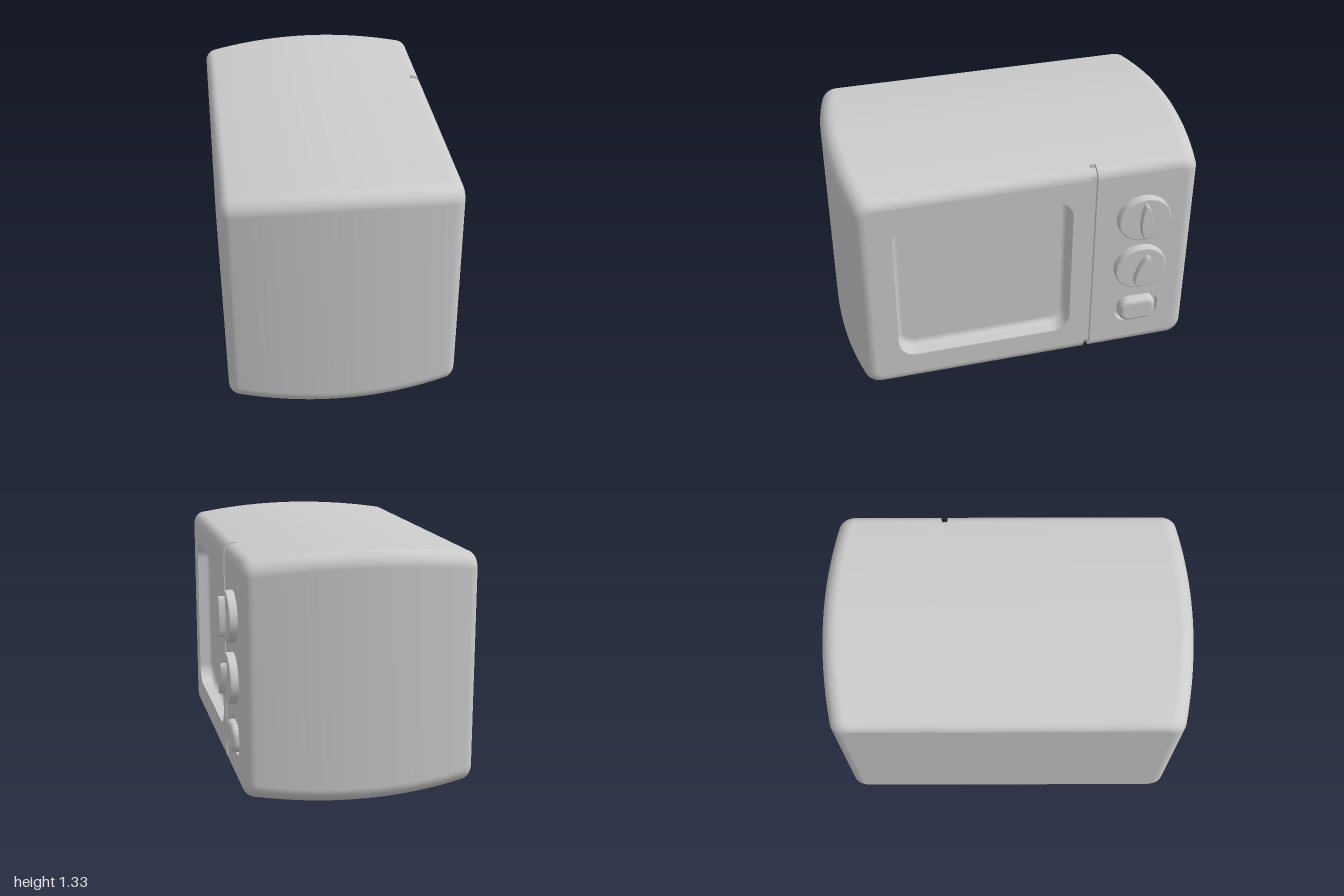
import * as THREE from 'three';

// Local frame: u = right across the door face, v = up, w = out of the door.
// The finished assembly is turned so that the door faces +x.
const SEG = 8, MID = 0.667, FRONT = 0.58, BACK = -0.665, FILLET = 0.05;
const GROOVE = [0.335, 0.37], GROOVE_START = 0.515, GROOVE_DEPTH = 0.022;

const grey = () => new THREE.MeshStandardMaterial({ color: 0xcccccc });

// Counter-clockwise rounded rectangle; extra points can be set on top and bottom
function roundRect(cu, cv, hw, hh, r, extras = []) {
  const pts = [];
  const corner = (su, sv, start) => {
    for (let i = 0; i <= SEG; i++) {
      const a = start + (i / SEG) * Math.PI / 2;
      pts.push([cu + su * (hw - r) + r * Math.cos(a), cv + sv * (hh - r) + r * Math.sin(a)]);
    }
  };
  corner(1, -1, -Math.PI / 2);
  corner(1, 1, 0);
  for (const u of [...extras].reverse()) pts.push([u, cv + hh]);
  corner(-1, 1, Math.PI / 2);
  corner(-1, -1, Math.PI);
  for (const u of extras) pts.push([u, cv - hh]);
  return pts;
}

// Skin over rings {w, pts}; skip(i, j) leaves a face open
function skin(rings, skip = () => false) {
  const n = rings[0].pts.length, pos = [], idx = [];
  for (const { w, pts } of rings) for (const [u, v] of pts) pos.push(u, v, w);
  for (let i = 0; i < rings.length - 1; i++) {
    for (let j = 0; j < n; j++) {
      if (skip(i, j)) continue;
      const k = (j + 1) % n, a = i * n + j, b = i * n + k;
      idx.push(a, b, b + n, a, b + n, a + n);
    }
  }
  const g = new THREE.BufferGeometry();
  g.setAttribute('position', new THREE.Float32BufferAttribute(pos, 3));
  g.setIndex(idx);
  g.computeVertexNormals();
  return g;
}

const vec = pts => pts.map(([u, v]) => new THREE.Vector2(u, v));

function panel(pts, w, holes = []) {
  const shape = new THREE.Shape(vec(pts));
  for (const h of holes) shape.holes.push(new THREE.Path(vec(h)));
  return new THREE.ShapeGeometry(shape).translate(0, 0, w);
}

export function createModel() {
  const model = new THREE.Group();
  const oven = new THREE.Group();
  oven.name = 'oven';
  oven.rotation.y = Math.PI / 2;
  model.add(oven);
  const add = (name, geo, parent = oven) => {
    const m = new THREE.Mesh(geo, grey());
    m.name = name;
    parent.add(m);
    return m;
  };

  // Bulging casing: stations from the back fillet to the front fillet
  const stations = [];
  for (let i = 0; i <= 6; i++) stations.push([BACK + FILLET, -(1 - i / 6) * Math.PI / 2]);
  for (let i = 1; i < 20; i++) {
    stations.push([THREE.MathUtils.lerp(BACK + FILLET, GROOVE_START, i / 20), 0]);
  }
  stations.push([GROOVE_START, 0]);
  const grooveRow = stations.length - 1;
  for (let i = 0; i <= 6; i++) stations.push([FRONT - FILLET, (i / 6) * Math.PI / 2]);

  const rings = stations.map(([base, t]) => {
    const w = base + FILLET * Math.sin(t);
    const inset = FILLET * (1 - Math.cos(t));
    const s = ((w - (FRONT + BACK) / 2) / 0.6225) ** 2;
    const hh = MID - 0.047 * s - inset, hw = 1 - 0.07 * s - inset;
    return { w, t, hh, pts: roundRect(0, MID, hw, hh, 0.085 - inset * 0.9, GROOVE) };
  });
  const topCol = 2 * (SEG + 1), bottomCol = 4 * (SEG + 1) + 2;
  add('casing', skin(rings, (i, j) => i >= grooveRow && (j === topCol || j === bottomCol)));
  add('backPanel', panel(rings[0].pts, 0).rotateY(Math.PI).translate(0, 0, BACK));

  // Door and control panel, either side of the groove
  const face = rings[rings.length - 1].pts;
  const windowRect = inset => roundRect(-0.252, 0.672, 0.493 - inset, 0.447 - inset, 0.1 - inset);
  const buttonRect = inset => roundRect(0.643, 0.305, 0.128 - inset, 0.09 - inset, 0.075 - inset);
  add('door', panel(face.slice(topCol + 1, bottomCol + 1), FRONT, [windowRect(0)]));
  add('controlPanel', panel([face[bottomCol + 1], ...face.slice(0, topCol + 1)], FRONT, [buttonRect(0)]));

  // Recess with a rounded foot
  const recess = (name, rect, depth, r) => {
    const steps = [{ w: FRONT, pts: rect(0) }];
    for (let i = 0; i <= 5; i++) {
      const a = (i / 5) * Math.PI / 2;
      steps.push({ w: FRONT - depth + r * (1 - Math.sin(a)), pts: rect(r * (1 - Math.cos(a))) });
    }
    add(name + 'Surround', skin(steps));
    add(name + 'Floor', panel(rect(r), FRONT - depth));
  };
  recess('window', windowRect, 0.09, 0.035);
  recess('buttonRecess', buttonRect, 0.03, 0.006);

  // Groove between door and controls, wrapping over the top and bottom edges
  const edge = rings.slice(grooveRow);
  const path = (sign, list) => list.map(({ w, t, hh }) => ({
    outer: [MID + sign * hh, w],
    inner: [MID + sign * (hh - GROOVE_DEPTH * Math.cos(t)), w - GROOVE_DEPTH * Math.sin(t)],
  }));
  const line = [...path(1, edge), ...path(-1, [...edge].reverse())];
  const pos = [];
  const quad = (a, b, c, d) => pos.push(...a, ...b, ...c, ...a, ...c, ...d);
  const [u0, u1] = GROOVE;
  for (let i = 0; i < line.length - 1; i++) {
    const p = line[i], q = line[i + 1];
    quad([u0, ...p.inner], [u0, ...q.inner], [u1, ...q.inner], [u1, ...p.inner]);
    quad([u0, ...p.outer], [u0, ...q.outer], [u0, ...q.inner], [u0, ...p.inner]);
    quad([u1, ...p.inner], [u1, ...q.inner], [u1, ...q.outer], [u1, ...p.outer]);
  }
  for (const p of [line[0], line[line.length - 1]]) {
    quad([u0, ...p.outer], [u0, ...p.inner], [u1, ...p.inner], [u1, ...p.outer]);
  }
  const groove = new THREE.BufferGeometry();
  groove.setAttribute('position', new THREE.Float32BufferAttribute(pos, 3));
  groove.computeVertexNormals();
  add('doorGroove', groove).material.side = THREE.DoubleSide;

  // Rounded disc with an elliptical outline, standing on the face
  const disc = (ru, rv, height, bevel) => {
    const rim = [new THREE.Vector2(1, 0)];
    for (let i = 0; i <= 4; i++) {
      const a = (i / 4) * Math.PI / 2;
      rim.push(new THREE.Vector2(1 - bevel / ru * (1 - Math.cos(a)), height - bevel * (1 - Math.sin(a))));
    }
    rim.push(new THREE.Vector2(1 - 2 * bevel / ru, height), new THREE.Vector2(0, height));
    return new THREE.LatheGeometry(rim, 40).rotateX(Math.PI / 2).scale(ru, rv, 1);
  };

  // Two dials with raised grips
  [[0.957, 0], [0.622, -0.36]].forEach(([v, turn], i) => {
    const dial = new THREE.Group();
    dial.name = i ? 'lowerDial' : 'upperDial';
    dial.position.set(0.637, v, FRONT);
    add('dialBase', disc(0.149, 0.137, 0.045, 0.008), dial);
    add('dialGrip', disc(0.029, i ? 0.097 : 0.109, 0.08, 0.004), dial).rotation.z = turn;
    oven.add(dial);
  });

  // Push button with a soft rim
  const buttonRings = [{ w: 0.55, pts: roundRect(0.643, 0.305, 0.107, 0.075, 0.06) }];
  for (let i = 0; i <= 5; i++) {
    const a = (i / 5) * Math.PI / 2, inset = 0.025 * (1 - Math.cos(a));
    buttonRings.push({
      w: 0.59 + 0.025 * Math.sin(a),
      pts: roundRect(0.643, 0.305, 0.107 - inset, 0.075 - inset, 0.06 - inset),
    });
  }
  add('buttonSide', skin(buttonRings));
  add('buttonTop', panel(buttonRings[6].pts, 0.615));

  return model;
}
